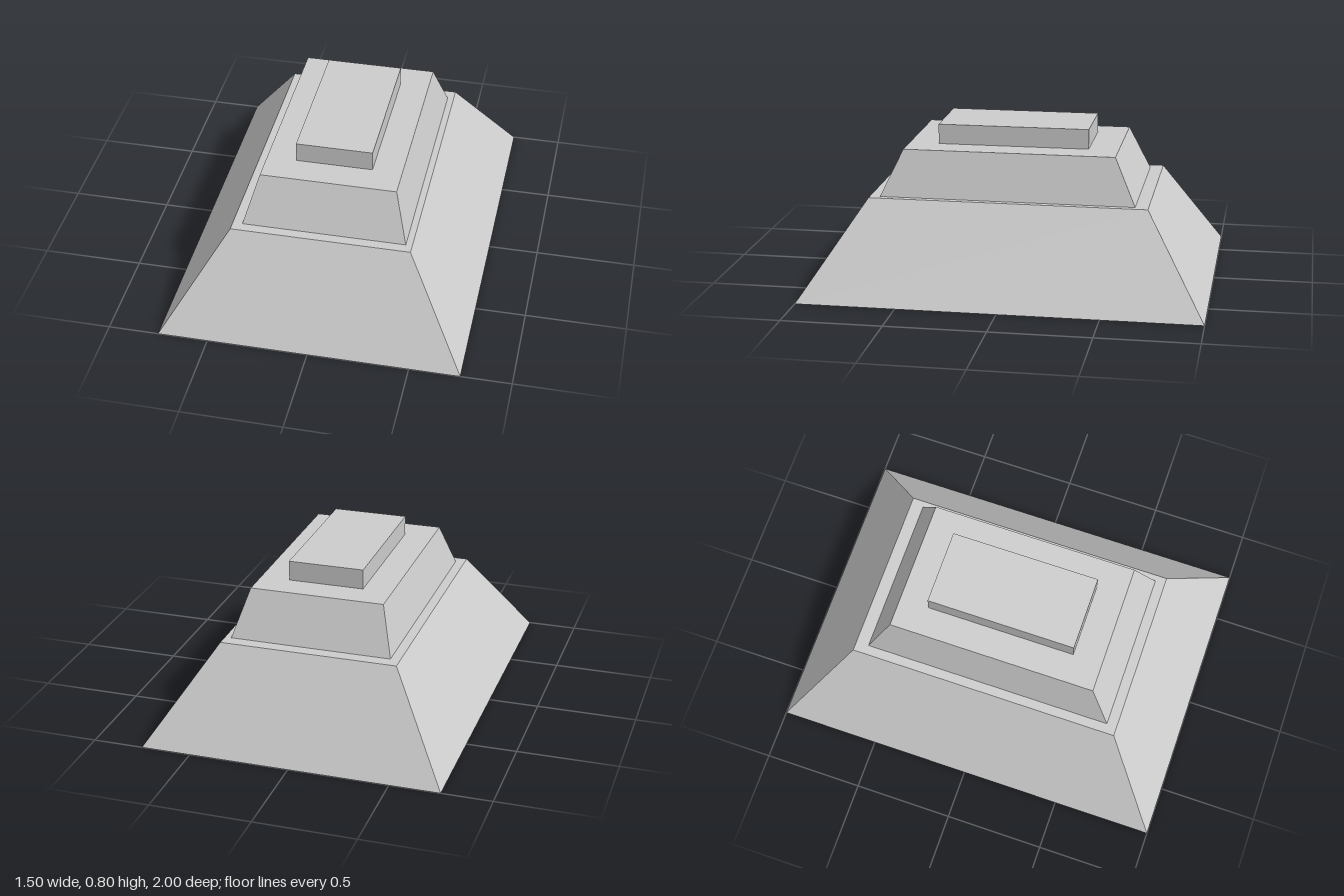
import * as THREE from 'three';

const stone = new THREE.MeshStandardMaterial({ color: 0xcccccc, side: THREE.DoubleSide });
stone.name = 'pale grey';

// Four sloped sides and a flat top, open underneath. bottom and top are [half width, half depth].
function tier(name, y0, y1, bottom, top, x = 0, z = 0) {
  const geometry = new THREE.BoxGeometry(2, 2, 2);
  const index = Array.from(geometry.index.array);
  index.splice(18, 6); // drop the underside
  geometry.setIndex(index);
  geometry.clearGroups();
  const p = geometry.attributes.position;
  for (let i = 0; i < p.count; i++) {
    const upper = p.getY(i) > 0;
    const [w, d] = upper ? top : bottom;
    p.setXYZ(i, x + p.getX(i) * w, upper ? y1 : y0, z + p.getZ(i) * d);
  }
  geometry.computeVertexNormals();
  const mesh = new THREE.Mesh(geometry, stone);
  mesh.name = name;
  return mesh;
}

export function createModel() {
  const group = new THREE.Group();
  group.name = 'steppedPlinth';
  group.add(
    tier('base', 0, 0.47, [0.75, 1], [0.445, 0.695]),
    tier('middleTier', 0.47, 0.7, [0.405, 0.637], [0.337, 0.53], 0.008, 0.007),
    tier('topSlab', 0.7, 0.8, [0.19, 0.38], [0.19, 0.38], 0.008, 0.007),
  );
  return group;
}
